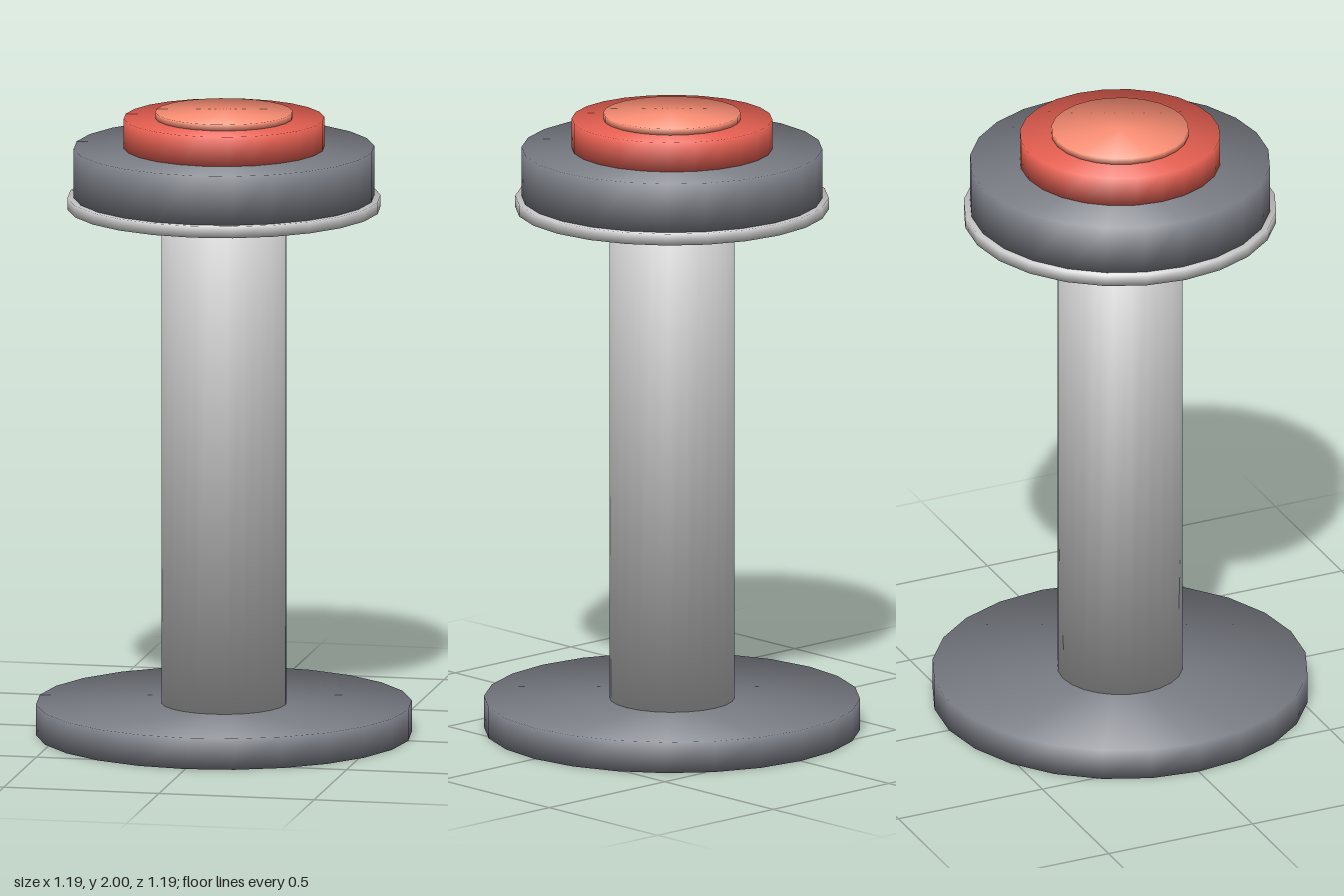
import * as THREE from 'three';

const SIDES = 24;

// Solid disc from y0 to y1 whose shading rolls softly over its rims.
function softDisc(name, radius, y0, y1, color) {
  const geometry = new THREE.CylinderGeometry(radius, radius, y1 - y0, SIDES);
  const position = geometry.attributes.position;
  const normal = geometry.attributes.normal;
  const k = Math.SQRT1_2;
  for (let i = 0; i < position.count; i++) {
    normal.setXYZ(
      i,
      (k * position.getX(i)) / radius,
      k * Math.sign(position.getY(i)),
      (k * position.getZ(i)) / radius
    );
  }
  const mesh = new THREE.Mesh(geometry, new THREE.MeshStandardMaterial({ color }));
  mesh.name = name;
  mesh.position.y = (y0 + y1) / 2;
  return mesh;
}

export function createModel() {
  const model = new THREE.Group();
  model.name = 'buttonPedestal';

  const grey = 0xcccccc, dark = 0x7b7e86, red = 0xe86052, coral = 0xff9076;

  model.add(
    // Stand
    softDisc('base', 0.594, 0, 0.1, dark),
    softDisc('pillar', 0.198, 0.1, 1.69, grey),
    // Button head
    softDisc('trimRing', 0.495, 1.69, 1.727, grey),
    softDisc('housing', 0.475, 1.727, 1.885, dark),
    softDisc('button', 0.317, 1.885, 1.98, red),
    softDisc('buttonCap', 0.217, 1.98, 2, coral)
  );
  return model;
}
